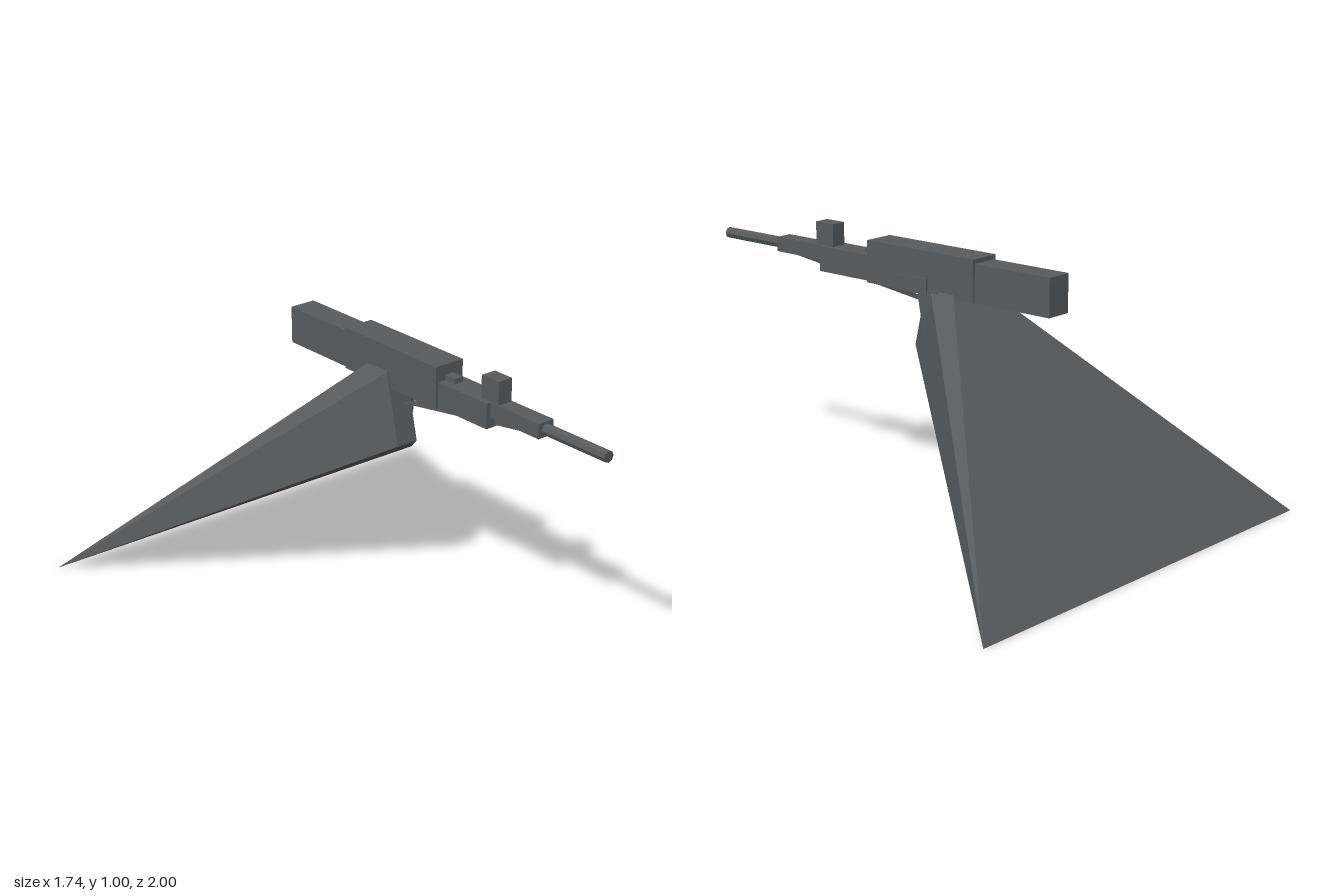
import * as THREE from 'three';
import { ConvexGeometry } from 'three/addons/geometries/ConvexGeometry.js';

export function createModel() {
  const group = new THREE.Group();
  const gunmetal = new THREE.MeshStandardMaterial({ color: 0x575b5e });
  gunmetal.name = 'gunmetal';
  gunmetal.flatShading = true;

  const add = (name, geometry) => {
    const mesh = new THREE.Mesh(geometry, gunmetal);
    mesh.name = name;
    group.add(mesh);
    return mesh;
  };
  // Box given by its limits on each axis
  const box = (name, x0, x1, y0, y1, z0, z1) =>
    add(name, new THREE.BoxGeometry(x1 - x0, y1 - y0, z1 - z0))
      .position.set((x0 + x1) / 2, (y0 + y1) / 2, (z0 + z1) / 2);
  // Faceted solid spanned by its corners
  const solid = (name, corners) =>
    add(name, new ConvexGeometry(corners.map((c) => new THREE.Vector3(...c))));

  // Body, from back to front
  box('stock', -0.051, 0.051, 0.824, 0.963, -0.595, -0.262);
  box('receiver', -0.061, 0.06, 0.824, 0.979, -0.268, 0.228);
  box('handguard', -0.051, 0.05, 0.828, 0.921, 0.2, 0.474);
  box('gasBlock', -0.034, 0.033, 0.866, 0.92, 0.46, 0.71);
  box('rearSight', -0.02, 0.019, 0.91, 0.94, 0.22, 0.277);
  box('frontSight', -0.03, 0.029, 0.91, 1.005, 0.425, 0.51);

  // Barrel
  const barrel = add('barrel', new THREE.CylinderGeometry(0.021, 0.021, 0.31, 8));
  barrel.rotation.x = Math.PI / 2;
  barrel.position.set(0, 0.893, 0.845);

  // Folded strut under the handguard, tapering to a point at the rear
  solid('strut', [
    [-0.007, 0.868, 0.71], [0.007, 0.868, 0.71],
    [-0.02, 0.83, 0.15], [-0.008, 0.83, 0.15],
    [-0.025, 0.765, 0.0],
  ]);

  // Side plate and the grip hanging beneath it
  box('sidePlate', 0.03, 0.067, 0.824, 0.88, -0.06, 0.075);
  solid('grip', [
    [0.017, 0.84, -0.015], [0.066, 0.84, -0.015],
    [0.017, 0.84, -0.11], [0.066, 0.84, -0.11],
    [0.02, 0.73, -0.127], [0.064, 0.74, -0.127],
    [0.02, 0.715, -0.035], [0.055, 0.65, -0.045], [0.064, 0.65, -0.05],
  ]);

  // Stand: a narrow post that flares back to a wide ground edge
  const stand = [];
  for (const [postX, footX] of [[-0.07, -0.87], [0.017, 0.87]]) {
    stand.push(
      [postX, 0.62, 0.035], [postX, 0.885, -0.025],
      [postX, 0.885, -0.135], [footX, 0, -1],
    );
  }
  solid('stand', stand);

  return group;
}
